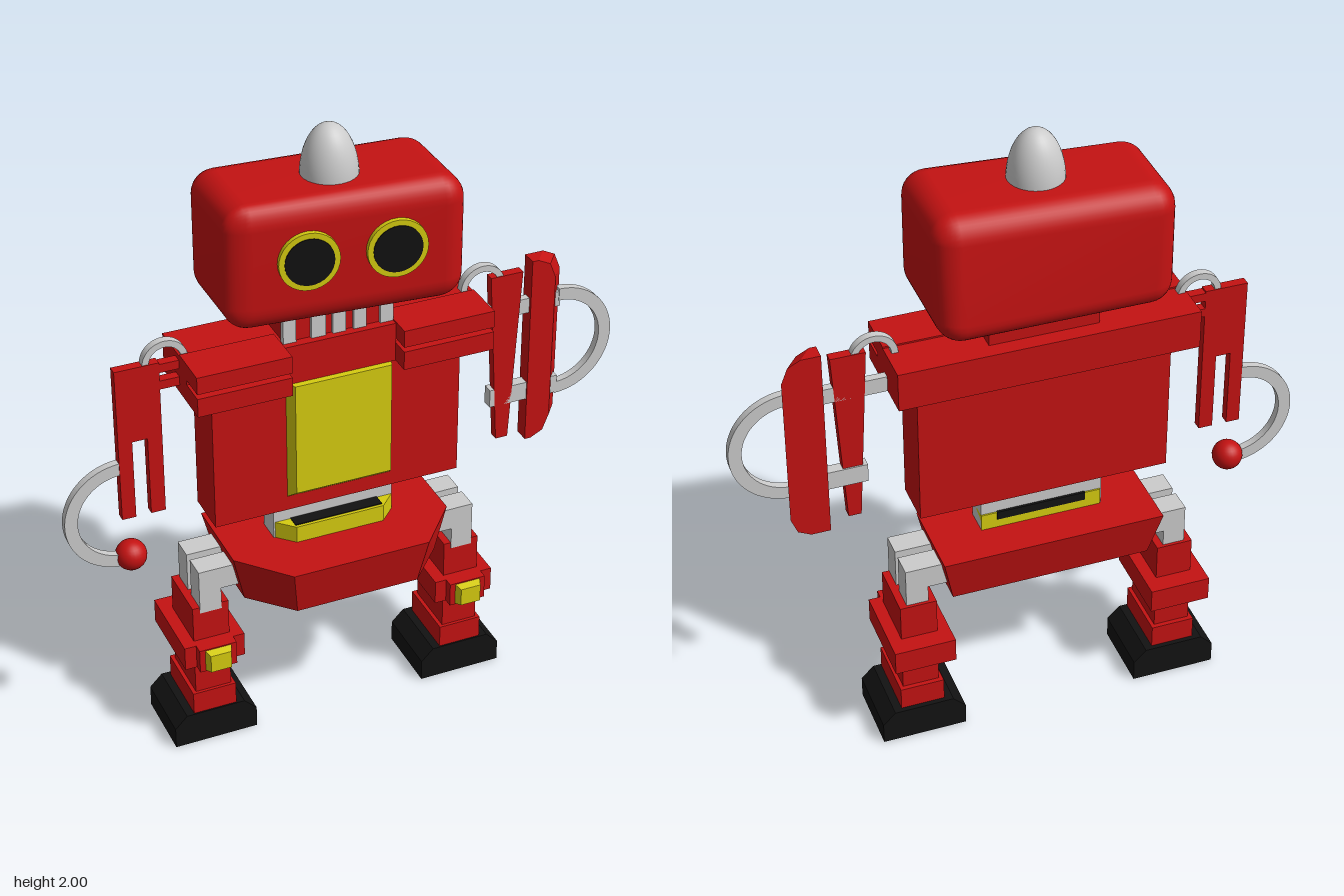
import * as THREE from 'three';
import { mergeVertices } from 'three/addons/utils/BufferGeometryUtils.js';
import { RoundedBoxGeometry } from 'three/addons/geometries/RoundedBoxGeometry.js';

const mat = (color) => new THREE.MeshStandardMaterial({ color });
const red = mat(0xc41212), yellow = mat(0xd6cc10), black = mat(0x121212), grey = mat(0xcccccc);
const MID = -0.05; // the body's own centre line

function add(parent, name, geometry, material) {
  const mesh = new THREE.Mesh(geometry, material);
  mesh.name = name;
  parent.add(mesh);
  return mesh;
}

// Box given by its limits on each axis
function box(parent, name, material, [x0, x1], [y0, y1], [z0, z1]) {
  const g = new THREE.BoxGeometry(x1 - x0, y1 - y0, z1 - z0);
  g.translate((x0 + x1) / 2, (y0 + y1) / 2, (z0 + z1) / 2);
  return add(parent, name, g, material);
}

// Moves every vertex by a rule
function reshape(g, rule) {
  const p = g.attributes.position, v = new THREE.Vector3();
  for (let i = 0; i < p.count; i++) {
    rule(v.fromBufferAttribute(p, i));
    p.setXYZ(i, v.x, v.y, v.z);
  }
  g.computeVertexNormals();
  return g;
}

// Flat outline in the front plane, given thickness and centred on z
function plate(parent, name, material, points, depth = 0.03, z = -0.02) {
  const shape = new THREE.Shape(points.map(([x, y]) => new THREE.Vector2(x, y)));
  const g = new THREE.ExtrudeGeometry(shape, { depth, bevelEnabled: false });
  return add(parent, name, g.translate(0, 0, z - depth / 2), material);
}

// Flat half ring from angle a, half a turn anticlockwise
function halfRing(parent, name, x, y, outer, inner, a, depth = 0.025) {
  const s = new THREE.Shape();
  s.absarc(0, 0, outer, a, a + Math.PI, false);
  s.absarc(0, 0, inner, a + Math.PI, a, true);
  const g = new THREE.ExtrudeGeometry(s, { depth, bevelEnabled: false, curveSegments: 24 });
  return add(parent, name, g.translate(x, y, -0.02 - depth / 2), grey);
}

function makeHead() {
  const head = new THREE.Group();
  head.name = 'head';
  head.position.set(-0.055, 1.655, 0);
  const faceZ = (x) => 0.15 + 0.11 * x;

  // Skull: slanted face, and a back whose upper left corner is pulled forward
  let g = new RoundedBoxGeometry(0.71, 0.39, 0.42, 4, 0.075);
  g.deleteAttribute('normal');
  g.deleteAttribute('uv');
  g = reshape(mergeVertices(g, 1e-4), (v) => {
    const t = v.z / 0.21, u = v.x / 0.71 + 0.5, h = v.y / 0.39 + 0.5;
    v.z = t * (t > 0 ? faceZ(v.x) : 0.225 - 0.06 * u * h);
  });
  add(head, 'skull', g, red);

  // Eyes
  for (const x of [-0.122, 0.135]) {
    const eye = new THREE.Group();
    eye.name = 'eye';
    eye.position.set(x, 0.015, faceZ(x));
    eye.rotation.y = -0.11;
    add(eye, 'eyeRim', new THREE.CylinderGeometry(0.09, 0.09, 0.03, 32).rotateX(Math.PI / 2), yellow);
    add(eye, 'eyeLens', new THREE.CylinderGeometry(0.073, 0.073, 0.036, 32).rotateX(Math.PI / 2), black);
    head.add(eye);
  }

  // Dome on top
  const profile = [];
  for (let i = 0; i <= 12; i++) {
    const a = (i / 12) * Math.PI / 2;
    profile.push(new THREE.Vector2(0.085 * Math.cos(a), 0.185 + 0.16 * Math.sin(a)));
  }
  add(head, 'dome', new THREE.LatheGeometry(profile, 32), grey).position.set(0.005, 0, -0.01);
  return head;
}

function makeTorso() {
  const torso = new THREE.Group();
  torso.name = 'torso';
  box(torso, 'chest', red, [-0.45, 0.34], [0.79, 1.25], [-0.09, 0.06]);
  box(torso, 'shoulderBar', red, [-0.52, 0.41], [1.24, 1.365], [-0.14, 0.055]);
  box(torso, 'collar', red, [-0.23, 0.12], [1.24, 1.365], [0.05, 0.08]);
  for (const x of [[-0.52, -0.23], [0.12, 0.41]])
    for (const y of [[1.24, 1.3], [1.315, 1.37]]) box(torso, 'shoulderSlab', red, x, y, [0, 0.14]);

  // Neck with grey strips down its front
  box(torso, 'neck', red, [-0.22, 0.12], [1.36, 1.5], [-0.09, 0.05]);
  for (const [x, w] of [[-0.205, 0.04], [-0.115, 0.045], [-0.05, 0.04], [0.015, 0.04], [0.1, 0.042]])
    box(torso, 'neckStrip', grey, [x - w / 2, x + w / 2], [1.36, 1.49], [0.04, 0.06]);

  // Chest panel, bevelled at the sides and bottom
  const panel = reshape(new THREE.BoxGeometry(0.34, 0.41, 0.05), (v) => {
    if (v.z < 0) return;
    v.x *= 0.9;
    if (v.y < 0) v.y += 0.04;
  });
  add(torso, 'chestPanel', panel, yellow).position.set(-0.053, 1.035, 0.075);

  // Waist and belt
  box(torso, 'waist', grey, [-0.25, 0.14], [0.62, 0.8], [-0.06, 0.02]);
  const c = 0.05, x0 = -0.245, x1 = 0.14, z0 = -0.065, z1 = 0.07;
  const outline = [[x0, z0], [x1, z0], [x1, z1 - c], [x1 - c, z1], [x0 + c, z1], [x0, z1 - c]];
  add(torso, 'belt', slab(outline, 0.08), yellow).position.y = 0.725;
  box(torso, 'beltInside', black, [x0 + c, x1 - c], [0.7, 0.728], [-0.068, 0.06]);

  // Pelvis: cut front corners, narrowing downward
  const hips = slab([[-0.405, -0.19], [0.3, -0.19], [0.3, 0.08], [0.17, 0.23], [-0.27, 0.23], [-0.405, 0.08]], 0.155);
  reshape(hips, (v) => {
    if (v.y > -0.01) return;
    v.x = MID + (v.x - MID) * 0.9;
    v.z = 0.02 + (v.z - 0.02) * 0.84;
  });
  add(torso, 'pelvis', hips, red).position.y = 0.67;
  return torso;
}

// Horizontal slab from an x, z outline, hanging down from y = 0
function slab(points, height) {
  const shape = new THREE.Shape(points.map(([x, z]) => new THREE.Vector2(x, z)));
  return new THREE.ExtrudeGeometry(shape, { depth: height, bevelEnabled: false }).rotateX(Math.PI / 2);
}

// Leg built about its own centre line; side +1 is the model's left
function makeLeg(side) {
  const leg = new THREE.Group();
  leg.name = side > 0 ? 'leftLeg' : 'rightLeg';
  leg.position.x = MID + side * 0.42;

  // Pair of bent hip brackets reaching in to the pelvis
  for (const z of [0.01, -0.0925]) {
    const pts = [[0.035, 0.48], [0.035, 0.63], [-0.14, 0.63], [-0.14, 0.555], [-0.035, 0.555], [-0.035, 0.48]];
    plate(leg, 'hipBracket', grey, pts.map(([x, y]) => [x * side, y]), 0.075, z);
  }
  box(leg, 'shin', red, [-0.058, 0.058], [0.15, 0.5], [-0.14, 0.045]);
  box(leg, 'kneeCuff', red, [-0.097, 0.097], [0.3, 0.38], [-0.2, 0.07]);
  box(leg, 'kneeCuffFront', red, [-0.06, 0.06], [0.3, 0.38], [0.06, 0.1]);
  box(leg, 'ankle', red, [-0.07, 0.07], [0.1, 0.185], [-0.155, 0.055]);

  // Bevelled knee buckle
  const buckle = reshape(new THREE.BoxGeometry(0.095, 0.08, 0.04), (v) => {
    if (v.z > 0) { v.x *= 0.7; v.y *= 0.75; }
  });
  add(leg, 'kneeBuckle', buckle, yellow).position.set(0, 0.34, 0.105);

  // Foot with sloped upper sides
  const foot = [[-0.135, 0], [0.135, 0], [0.135, 0.07], [0.095, 0.11], [-0.095, 0.11], [-0.135, 0.07]];
  plate(leg, 'foot', black, foot, 0.23, -0.055);
  return leg;
}

function makeRightArm() {
  const arm = new THREE.Group();
  arm.name = 'rightArm';
  plate(arm, 'forkedPlate', red, [[-0.715, 0.85], [-0.672, 0.85], [-0.672, 1.11], [-0.625, 1.11],
    [-0.625, 0.85], [-0.58, 0.85], [-0.58, 1.355], [-0.715, 1.355]]);
  for (const y of [1.28, 1.335]) box(arm, 'armLink', red, [-0.6, -0.5], [y - 0.014, y + 0.014], [-0.035, -0.005]);
  halfRing(arm, 'shoulderLoop', -0.56, 1.35, 0.07, 0.05, 0);
  halfRing(arm, 'armHoop', -0.71, 0.865, 0.18, 0.14, Math.PI / 2);
  add(arm, 'handBall', new THREE.SphereGeometry(0.048, 24, 16), red).position.set(-0.69, 0.71, -0.02);
  return arm;
}

function makeLeftArm() {
  const arm = new THREE.Group();
  arm.name = 'leftArm';
  plate(arm, 'taperedPlate', red, [[0.505, 0.815], [0.545, 0.815], [0.577, 1.39], [0.47, 1.39]]);

  // Outer plate: rounded outer corners, front edge bevelled outward
  const outer = plate(arm, 'outerPlate', red, [[0.605, 0.79], [0.665, 0.79], [0.705, 0.81], [0.725, 0.86],
    [0.725, 1.35], [0.705, 1.4], [0.665, 1.42], [0.605, 1.42]], 0.05, -0.025);
  reshape(outer.geometry, (v) => {
    if (v.z > -0.01 && v.x > 0.65) v.x -= 0.04;
  });
  box(arm, 'upperArmBar', grey, [0.4, 0.71], [1.24, 1.29], [-0.035, -0.01]);
  box(arm, 'lowerArmBar', grey, [0.48, 0.71], [0.935, 0.995], [-0.04, -0.005]);
  halfRing(arm, 'shoulderLoop', 0.445, 1.365, 0.072, 0.052, 0);
  halfRing(arm, 'armHoop', 0.705, 1.115, 0.185, 0.145, -Math.PI / 2);
  return arm;
}

export function createModel() {
  const robot = new THREE.Group();
  robot.name = 'robot';
  robot.add(makeHead(), makeTorso(), makeLeg(1), makeLeg(-1), makeRightArm(), makeLeftArm());
  return robot;
}
